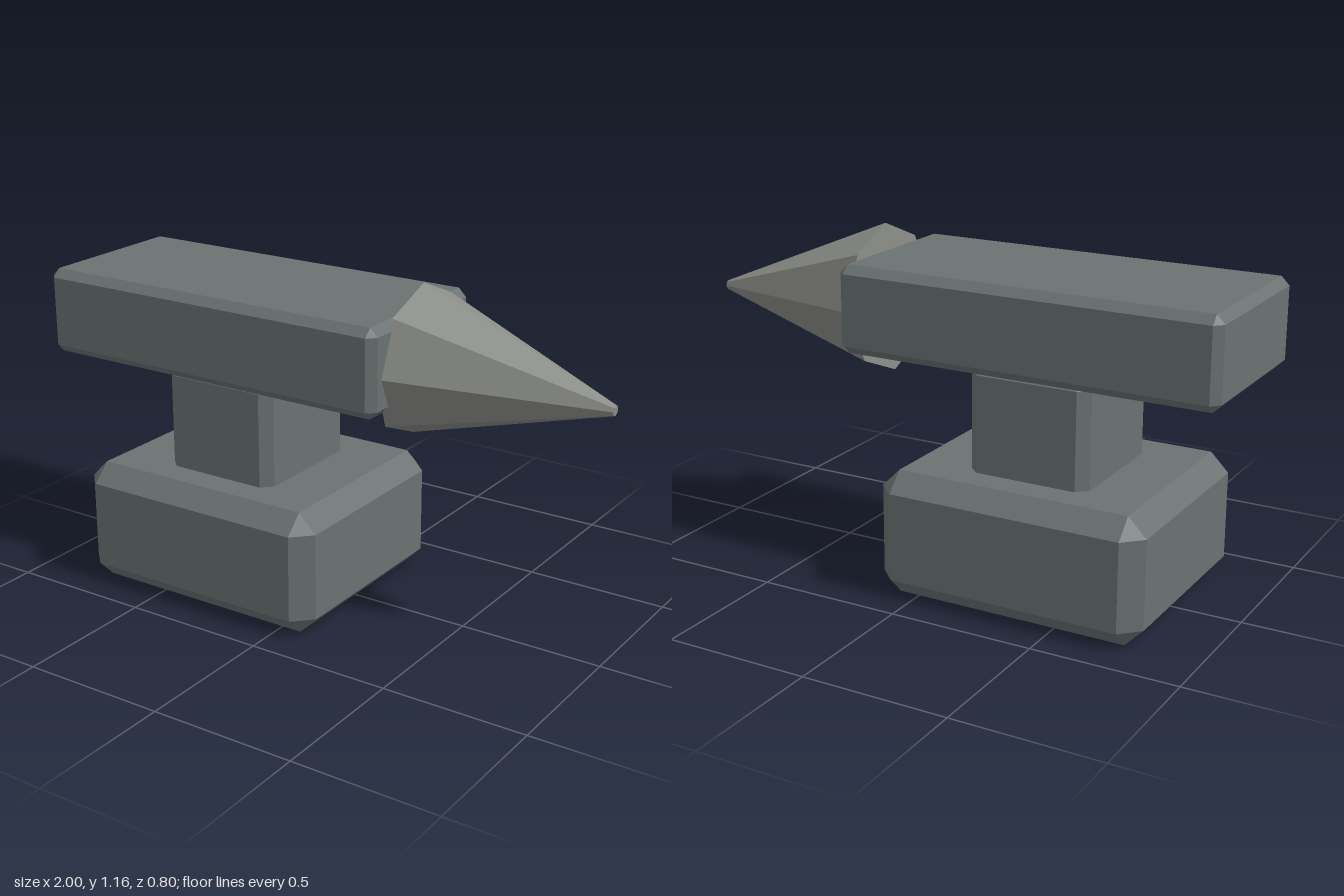
import * as THREE from 'three';
import { ConvexGeometry } from 'three/addons/geometries/ConvexGeometry.js';

const bodyMaterial = new THREE.MeshStandardMaterial({ color: 0x6a7272, flatShading: true });
const hornMaterial = new THREE.MeshStandardMaterial({ color: 0x8a8c86, flatShading: true });

// Box with flat bevels on every edge and a triangle at every corner
function chamferedBox(name, [x0, x1], [y0, y1], depth, c) {
  const hx = (x1 - x0) / 2, hy = (y1 - y0) / 2, hz = depth / 2;
  const points = [];
  for (const sx of [-1, 1]) for (const sy of [-1, 1]) for (const sz of [-1, 1]) {
    points.push(
      new THREE.Vector3(sx * hx, sy * (hy - c), sz * (hz - c)),
      new THREE.Vector3(sx * (hx - c), sy * hy, sz * (hz - c)),
      new THREE.Vector3(sx * (hx - c), sy * (hy - c), sz * hz)
    );
  }
  const mesh = new THREE.Mesh(new ConvexGeometry(points), bodyMaterial);
  mesh.name = name;
  mesh.position.set((x0 + x1) / 2, (y0 + y1) / 2, 0);
  return mesh;
}

export function createModel() {
  const anvil = new THREE.Group();
  anvil.name = 'anvil';

  // Stacked blocks: foot, waist and the long working face
  anvil.add(
    chamferedBox('base', [-0.807, 0.135], [0, 0.43], 0.796, 0.064),
    chamferedBox('waist', [-0.55, -0.123], [0.36, 0.795], 0.47, 0.036),
    chamferedBox('topBlock', [-1, 0.326], [0.777, 1.075], 0.6, 0.028)
  );

  // Eight-sided horn, tipped slightly downward
  const length = 0.69, tilt = 0.059;
  const horn = new THREE.Mesh(new THREE.CylinderGeometry(0.017, 0.255, length, 8), hornMaterial);
  horn.name = 'horn';
  horn.rotation.z = -Math.PI / 2 - tilt;
  horn.position.set(
    0.31 + Math.cos(tilt) * length / 2,
    0.905 - Math.sin(tilt) * length / 2,
    0
  );
  anvil.add(horn);

  return anvil;
}
